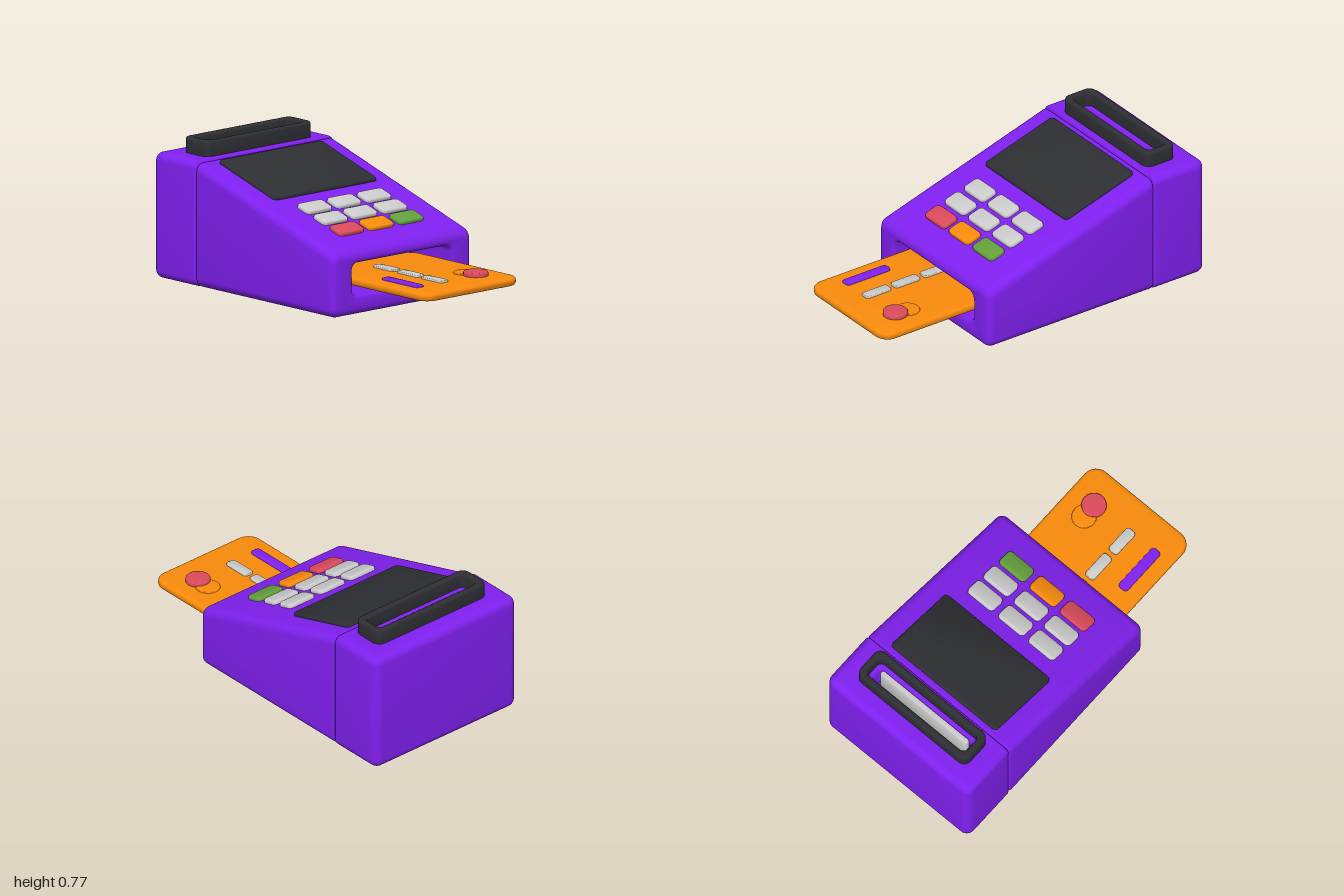
import * as THREE from 'three';
import { toCreasedNormals } from 'three/addons/utils/BufferGeometryUtils.js';

const mat = (color) => new THREE.MeshStandardMaterial({ color });
const purple = mat(0x8020f0), orange = mat(0xf98b0c), red = mat(0xdb4a5c);
const green = mat(0x64a03c), dark = mat(0x2e2f33), grey = mat(0xcccccc);

function add(parent, name, geometry, material, x = 0, y = 0, z = 0) {
  const mesh = new THREE.Mesh(geometry, material);
  mesh.name = name;
  mesh.position.set(x, y, z);
  parent.add(mesh);
  return mesh;
}

// Counter-clockwise rounded rectangle: half width, v range, radii at v0 and v1
const STEPS = 8;
function ringPoints({ hw, v0, v1, r0, r1 = r0 }) {
  const pts = [];
  const corners = [[hw - r1, v1 - r1, r1], [r1 - hw, v1 - r1, r1], [r0 - hw, v0 + r0, r0], [hw - r0, v0 + r0, r0]];
  corners.forEach(([cu, cv, r], q) => {
    for (let i = 0; i <= STEPS; i++) {
      const a = (q + i / STEPS) * Math.PI / 2;
      pts.push([cu + r * Math.cos(a), cv + r * Math.sin(a)]);
    }
  });
  return pts;
}

// Skin a list of rings along t, closing both ends with fans
function loft(rings, place) {
  const pos = [], idx = [], n = 4 * (STEPS + 1);
  for (const ring of rings)
    for (const [u, v] of ringPoints(ring)) pos.push(...place(u, v, ring.t));
  const last = (rings.length - 1) * n;
  for (let k = 0; k < last; k += n)
    for (let i = 0; i < n; i++) {
      const j = (i + 1) % n;
      idx.push(k + i, k + j, k + n + j, k + i, k + n + j, k + n + i);
    }
  const a = pos.length / 3, first = rings[0], end = rings[rings.length - 1];
  pos.push(...place(0, (first.v0 + first.v1) / 2, first.t), ...place(0, (end.v0 + end.v1) / 2, end.t));
  for (let i = 0; i < n; i++) {
    const j = (i + 1) % n;
    idx.push(a, j, i, a + 1, last + i, last + j);
  }
  const g = new THREE.BufferGeometry();
  g.setAttribute('position', new THREE.Float32BufferAttribute(pos, 3));
  g.setIndex(idx);
  return toCreasedNormals(g, 0.6);
}

function roundedRect(w, l, r, Type = THREE.Shape) {
  const s = new Type();
  s.setFromPoints(ringPoints({ hw: w / 2, v0: -l / 2, v1: l / 2, r0: r }).map(([x, y]) => new THREE.Vector2(x, y)));
  return s;
}

// Flat plate lying on y = 0 with softly rounded rims
function plate(shape, h, bevel, underside = true) {
  const g = new THREE.ExtrudeGeometry(shape, {
    depth: h - 2 * bevel, bevelThickness: bevel, bevelSize: bevel, bevelOffset: -bevel, bevelSegments: 4,
  });
  g.translate(0, 0, bevel).rotateX(-Math.PI / 2);
  return toCreasedNormals(g, 0.6);
}

const arc = (n) => Array.from({ length: n + 1 }, (_, i) => (i / n) * Math.PI / 2);
const SLOPE = 0.303;
const slopeY = (z) => 0.36 + (0.39 - z) * SLOPE;

// Wedge housing with a card slot sunk into its front
function housing() {
  const ring = (t, k) => ({ t, hw: 0.5 - k, v0: k, v1: slopeY(t) - k, r0: Math.max(0.05 - k, 0.008) });
  const slot = (t, k) => ({ t, hw: 0.375 - k, v0: 0.083 + k, v1: 0.302 - k, r0: 0.06 - k });
  const rings = [];
  for (const a of arc(4)) rings.push(ring(-0.645 - 0.013 * Math.cos(a), 0.013 * (1 - Math.sin(a))));
  for (const a of arc(8)) rings.push(ring(0.388 + 0.04 * Math.sin(a), 0.04 * (1 - Math.cos(a))));
  for (const a of arc(5)) rings.push(slot(0.408 + 0.02 * Math.cos(a), 0.02 * Math.sin(a)));
  rings.push(slot(0.1, 0.02));
  return loft(rings, (u, v, t) => [u, v, t]);
}

// Rear block with a paper slot sunk into its top
function rearBlock() {
  const ring = (t, k) => ({
    t, hw: 0.5 - k, v0: 0.66 + 0.3 * k, v1: 1 - k, r0: Math.max(0.016 - 0.3 * k, 0.004), r1: Math.max(0.05 - k, 0.008),
  });
  const slot = (t, k) => ({ t, hw: 0.35 - k, v0: 0.73 + k, v1: 0.86 - k, r0: 0.045 - k });
  const rings = [];
  for (const a of arc(8)) rings.push(ring(0.045 * (1 - Math.cos(a)), 0.045 * (1 - Math.sin(a))));
  for (const a of arc(8)) rings.push(ring(0.64 + 0.045 * Math.sin(a), 0.045 * (1 - Math.cos(a))));
  for (const a of arc(5)) rings.push(slot(0.655 + 0.03 * Math.cos(a), 0.03 * Math.sin(a)));
  rings.push(slot(0.5, 0.03));
  return loft(rings, (u, v, t) => [u, t, -v]);
}

export function createModel() {
  const model = new THREE.Group();
  model.name = 'cardTerminal';
  add(model, 'housing', housing(), purple);
  add(model, 'rearBlock', rearBlock(), purple);

  // Paper outlet frame and the paper inside it
  const frame = roundedRect(0.77, 0.195, 0.045);
  frame.holes.push(roundedRect(0.69, 0.12, 0.03, THREE.Path));
  add(model, 'paperFrame', plate(frame, 0.1, 0.015), dark, 0, 0.67, -0.792);
  add(model, 'paper', plate(roundedRect(0.61, 0.03, 0.012), 0.18, 0.01), grey, 0, 0.51, -0.773);

  // Screen and keys lie on the sloping face
  const panel = new THREE.Group();
  panel.name = 'controlPanel';
  panel.position.set(0, slopeY(0), 0);
  panel.rotation.x = Math.atan(SLOPE);
  model.add(panel);
  const stretch = Math.hypot(1, SLOPE);
  add(panel, 'screen', plate(roundedRect(0.74, 0.45 * stretch, 0.025), 0.04, 0.012), dark, 0, -0.022, -0.4 * stretch);
  const key = plate(roundedRect(0.18, 0.1 * stretch, 0.025), 0.04, 0.012);
  [-0.035, 0.092, 0.22].forEach((z, row) => {
    [-0.212, 0, 0.215].forEach((x, col) => {
      add(panel, 'key', key, row < 2 ? grey : [red, orange, green][col], x, -0.018, z * stretch);
    });
  });

  // Payment card pushed into the front slot
  const card = new THREE.Group();
  card.name = 'card';
  model.add(card);
  add(card, 'cardBody', plate(roundedRect(0.69, 0.88, 0.08), 0.045, 0.018), orange, -0.005, 0.16, 0.56);
  add(card, 'cardStripe', plate(roundedRect(0.06, 0.29, 0.02), 0.025, 0.006), purple, -0.24, 0.19, 0.695);
  for (const z of [0.375, 0.565, 0.755])
    add(card, 'cardBar', plate(roundedRect(0.06, 0.165, 0.018), 0.027, 0.006), grey, -0.065, 0.19, z);
  const disc = (h) => {
    const s = new THREE.Shape();
    s.absarc(0, 0, 0.067, 0, Math.PI * 2);
    return plate(s, h, 0.007);
  };
  add(card, 'orangeDisc', disc(0.022), orange, 0.18, 0.19, 0.73);
  add(card, 'redDisc', disc(0.038), red, 0.18, 0.19, 0.81);
  return model;
}
